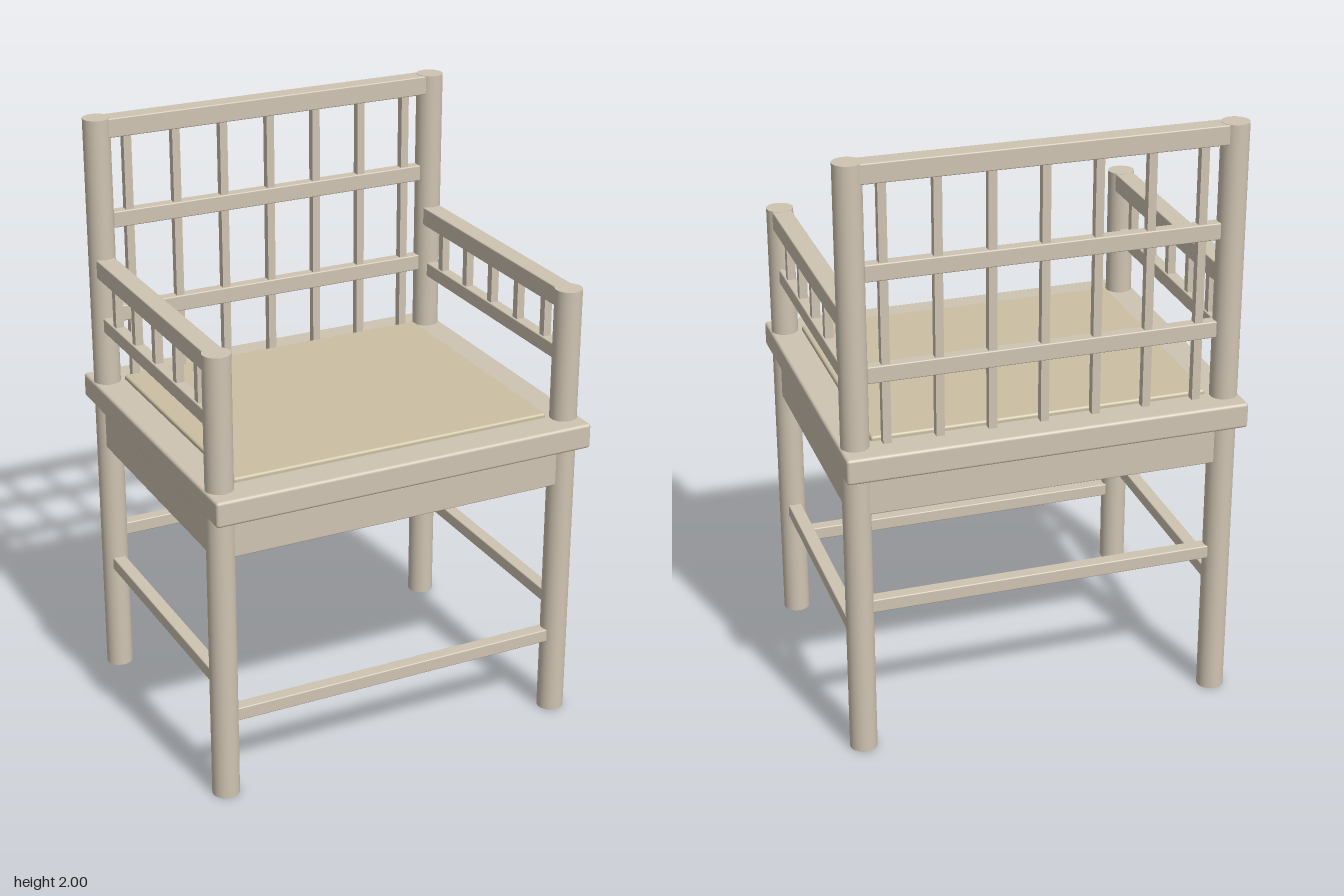
import * as THREE from 'three';
import { RoundedBoxGeometry } from 'three/addons/geometries/RoundedBoxGeometry.js';

export function createModel() {
  const chair = new THREE.Group();
  chair.name = 'armchair';
  const wood = new THREE.MeshStandardMaterial({ color: 0xcfc4b2 });
  const panelWood = new THREE.MeshStandardMaterial({ color: 0xcbc0a4 });
  const PX = 0.61, PZ = 0.47, R = 0.045; // post centres and radius

  const add = (name, geometry, x, y, z, material = wood) => {
    const mesh = new THREE.Mesh(geometry, material);
    mesh.name = name;
    mesh.position.set(x, y, z);
    chair.add(mesh);
  };
  // Bars are given by their bottom and top heights
  const bar = (name, w, y0, y1, d, x, z) =>
    add(name, new RoundedBoxGeometry(w, y1 - y0, d, 2, 0.004), x, (y0 + y1) / 2, z);
  const spindle = (name, x, y0, y1, z) =>
    add(name, new THREE.BoxGeometry(0.027, y1 - y0, 0.027), x, (y0 + y1) / 2, z);

  // Seat slab and raised panel
  add('seat', new RoundedBoxGeometry(1.32, 0.085, 1.13, 3, 0.01), 0, 1.0425, 0);
  add('seatPanel', new RoundedBoxGeometry(1.11, 0.04, 0.91, 3, 0.008), 0, 1.08, 0, panelWood);

  // Posts running through the seat: short in front, tall behind
  for (const side of [-1, 1]) {
    const name = side > 0 ? 'left' : 'right';
    add(name + 'FrontPost', new THREE.CylinderGeometry(R, R, 1.53, 40), side * PX, 0.765, PZ);
    add(name + 'BackPost', new THREE.CylinderGeometry(R, R, 2, 40), side * PX, 1, -PZ);

    // Side apron, stretcher and armrest
    bar(name + 'Apron', 0.055, 0.855, 1.0, 0.87, side * PX, 0);
    bar(name + 'Stretcher', 0.045, 0.385, 0.43, 0.87, side * PX, 0);
    bar(name + 'ArmRail', 0.065, 1.465, 1.529, 0.88, side * PX, 0);
    bar(name + 'LowerArmRail', 0.04, 1.275, 1.325, 0.86, side * PX, 0);
    for (let i = -2; i <= 2; i++) spindle(name + 'ArmSpindle', side * PX, 1.31, 1.48, i * 0.17);
  }

  // Front and back aprons and stretchers
  bar('frontApron', 1.16, 0.855, 1.0, 0.055, 0, PZ);
  bar('backApron', 1.16, 0.855, 1.0, 0.055, 0, -PZ);
  bar('frontStretcher', 1.15, 0.265, 0.31, 0.045, 0, PZ);
  bar('backStretcher', 1.15, 0.5, 0.545, 0.045, 0, -PZ);

  // Backrest rails and spindles
  bar('topRail', 1.17, 1.935, 1.999, 0.065, 0, -PZ);
  bar('upperBackRail', 1.14, 1.625, 1.68, 0.04, 0, -PZ);
  bar('lowerBackRail', 1.14, 1.295, 1.35, 0.04, 0, -PZ);
  for (let i = -3; i <= 3; i++) spindle('backSpindle', i * 0.17, 1.07, 1.95, -PZ);

  return chair;
}
